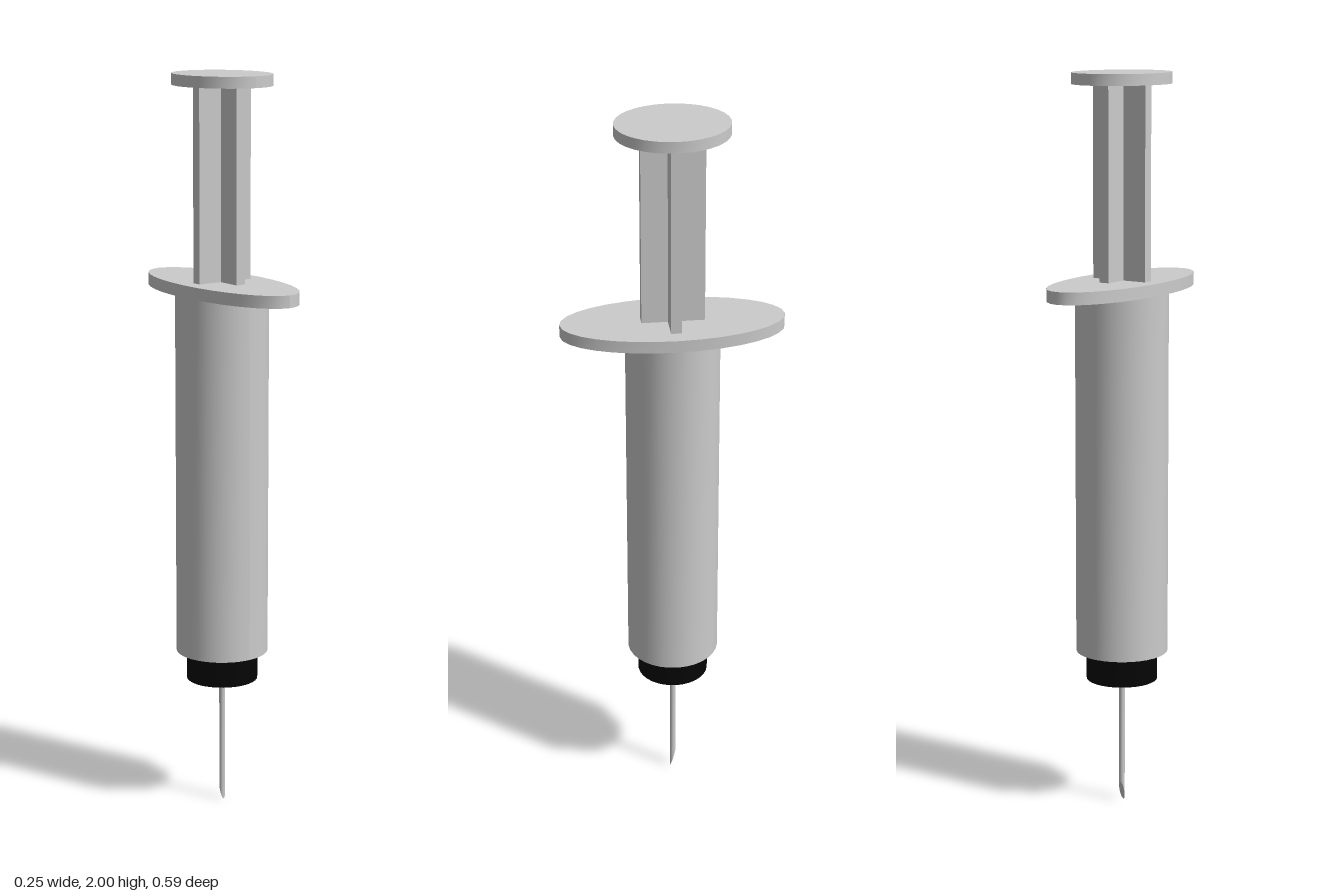
import * as THREE from 'three';

const grey = new THREE.MeshStandardMaterial({ color: 0xcccccc });
const black = new THREE.MeshStandardMaterial({ color: 0x050505 });

// Upright elliptical cylinder between two heights
function disc(name, rx, rz, y0, y1, material = grey, sides = 32) {
  const geometry = new THREE.CylinderGeometry(1, 1, y1 - y0, sides);
  geometry.scale(rx, 1, rz);
  geometry.translate(0, (y0 + y1) / 2, 0);
  geometry.computeVertexNormals();
  const mesh = new THREE.Mesh(geometry, material);
  mesh.name = name;
  return mesh;
}

// Plus-shaped plunger rod, extruded upwards
function plungerRod(y0, y1) {
  const a = 0.083, t = 0.014;
  const outline = [];
  for (let i = 0; i < 4; i++) {
    const turn = i * Math.PI / 2;
    for (const [x, y] of [[a, -t], [a, t], [t, t]]) {
      outline.push(new THREE.Vector2(x, y).rotateAround(new THREE.Vector2(), turn));
    }
  }
  const geometry = new THREE.ExtrudeGeometry(new THREE.Shape(outline), { depth: y1 - y0, bevelEnabled: false });
  geometry.rotateX(-Math.PI / 2);
  geometry.translate(0, y0, 0);
  const mesh = new THREE.Mesh(geometry, grey);
  mesh.name = 'plungerRod';
  return mesh;
}

// Thin needle whose lower end is cut on a slant, with the point at +z
function needle(top) {
  const r = 0.008, cut = 0.055;
  const mesh = disc('needle', r, r, 0, top, grey, 16);
  const p = mesh.geometry.attributes.position;
  for (let i = 0; i < p.count; i++) {
    if (p.getY(i) < 0.001) p.setY(i, cut * (r - p.getZ(i)) / (2 * r));
  }
  mesh.geometry.computeVertexNormals();
  return mesh;
}

export function createModel() {
  const model = new THREE.Group();
  model.name = 'syringe';
  model.add(
    needle(0.36),
    disc('needleHub', 0.097, 0.097, 0.355, 0.437, black),
    disc('barrel', 0.125, 0.125, 0.435, 1.425),
    disc('fingerFlange', 0.125, 0.295, 1.422, 1.455),
    plungerRod(1.45, 1.975),
    disc('thumbPlate', 0.125, 0.148, 1.97, 2),
  );
  return model;
}
